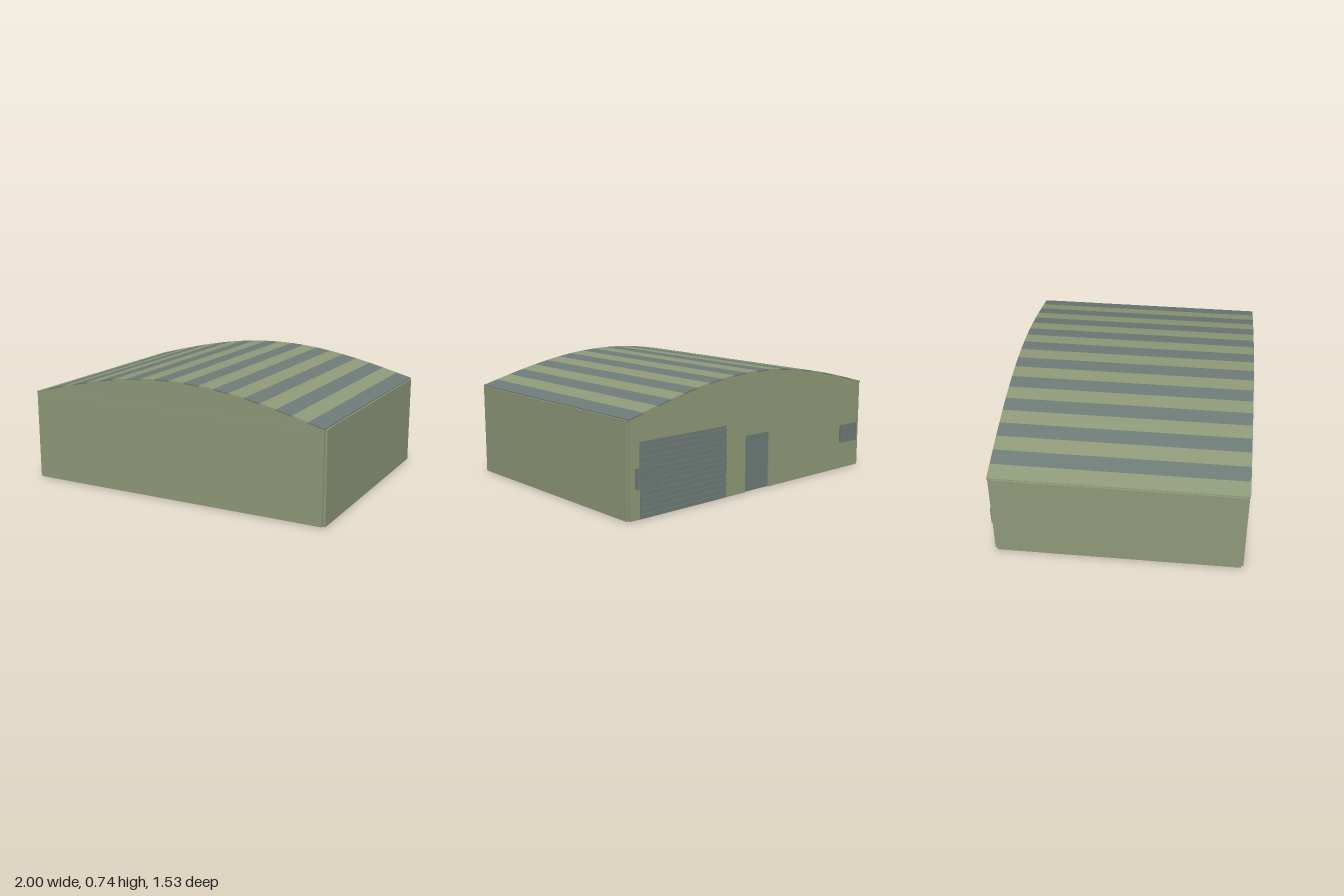
import * as THREE from 'three';
import { toCreasedNormals } from 'three/addons/utils/BufferGeometryUtils.js';

const green = new THREE.MeshStandardMaterial({ name: 'olive cladding', color: 0x8f9a79 });
const slate = new THREE.MeshStandardMaterial({ name: 'slate metal', color: 0x6e7b77 });
const grey = new THREE.MeshStandardMaterial({ name: 'floor grey', color: 0x82827a });

const WALL_TOP = 0.567, BACK = -0.75, FRONT = 0.762;
const roofY = (x) => 0.57 + 0.17 * Math.cos((Math.PI * x) / 2);

// Box given by its limits on each axis
function box(parent, name, material, [x0, x1], [y0, y1], [z0, z1]) {
  const mesh = new THREE.Mesh(new THREE.BoxGeometry(x1 - x0, y1 - y0, z1 - z0), material);
  mesh.position.set((x0 + x1) / 2, (y0 + y1) / 2, (z0 + z1) / 2);
  mesh.name = name;
  parent.add(mesh);
  return mesh;
}

// Solid under the roof curve between x0 and x1, extruded along z
function arched(parent, name, material, x0, x1, steps, drop, bottom, z0, z1) {
  const pts = [];
  for (let i = 0; i <= steps; i++) {
    const x = x0 + ((x1 - x0) * i) / steps;
    pts.push(new THREE.Vector2(x, roofY(x) - drop));
  }
  for (let i = steps; i >= 0; i--) {
    const x = x0 + ((x1 - x0) * i) / steps;
    pts.push(new THREE.Vector2(x, bottom(x)));
  }
  const geo = new THREE.ExtrudeGeometry(new THREE.Shape(pts), { depth: z1 - z0, bevelEnabled: false });
  const mesh = new THREE.Mesh(toCreasedNormals(geo, 0.3), material);
  mesh.position.z = z0;
  mesh.name = name;
  parent.add(mesh);
}

export function createModel() {
  const model = new THREE.Group();
  model.name = 'warehouse';

  // Floor slab and main body, with side walls standing slightly proud
  box(model, 'floor', grey, [-0.97, 0.97], [0, 0.02], [-0.73, 0.745]);
  box(model, 'body', green, [-0.985, 0.985], [0.003, WALL_TOP], [-0.738, FRONT]);
  for (const s of [-1, 1]) {
    const xs = s < 0 ? [-1, -0.98] : [0.98, 1];
    box(model, s < 0 ? 'rightWall' : 'leftWall', green, xs, [0.002, WALL_TOP], [-0.735, 0.748]);
  }

  // Back wall around the recessed door
  const skin = [BACK, -0.736];
  box(model, 'backWallRight', green, [-0.985, -0.112], [0.002, WALL_TOP], skin);
  box(model, 'backWallLeft', green, [0.095, 0.985], [0.002, WALL_TOP], skin);
  box(model, 'doorLintel', green, [-0.112, 0.095], [0.353, WALL_TOP], skin);
  box(model, 'door', slate, [-0.112, 0.095], [0.002, 0.353], [-0.741, -0.736]);

  // Gable fill and striped arched roof
  arched(model, 'gable', green, -0.985, 0.985, 60, 0.005, () => WALL_TOP - 0.01, BACK + 0.003, FRONT - 0.003);
  const roof = new THREE.Group();
  roof.name = 'roof';
  const stripes = 20, half = 0.99, w = (2 * half) / stripes;
  for (let i = 0; i < stripes; i++) {
    const x0 = -half + i * w;
    arched(roof, 'roofStripe', i % 2 ? slate : green, x0, x0 + w, 4, 0, (x) => roofY(x) - 0.008, -0.753, 0.766);
  }
  model.add(roof);

  // Roller door with horizontal slats
  const shutter = new THREE.Group();
  shutter.name = 'rollerDoor';
  box(shutter, 'shutterPanel', slate, [0.26, 0.917], [0.003, 0.44], [-0.754, BACK]);
  for (let i = 0; i < 13; i++) {
    const y = 0.025 + i * 0.0325;
    box(shutter, 'slat', slate, [0.262, 0.915], [y - 0.005, y + 0.005], [-0.76, -0.753]);
  }
  model.add(shutter);

  // Two-pane windows near both ends of the back wall
  for (const s of [-1, 1]) {
    const win = new THREE.Group();
    win.name = s < 0 ? 'rightWindow' : 'leftWindow';
    box(win, 'pane', slate, [-0.08, 0.08], [0.18, 0.295], [-0.762, BACK]);
    for (const x of [-0.077, 0, 0.077])
      box(win, 'frameUpright', slate, [x - 0.004, x + 0.004], [0.178, 0.297], [-0.766, -0.76]);
    for (const y of [0.181, 0.294])
      box(win, 'frameRail', slate, [-0.08, 0.08], [y - 0.004, y + 0.004], [-0.765, -0.76]);
    win.position.x = 0.87 * s;
    model.add(win);
  }
  return model;
}
